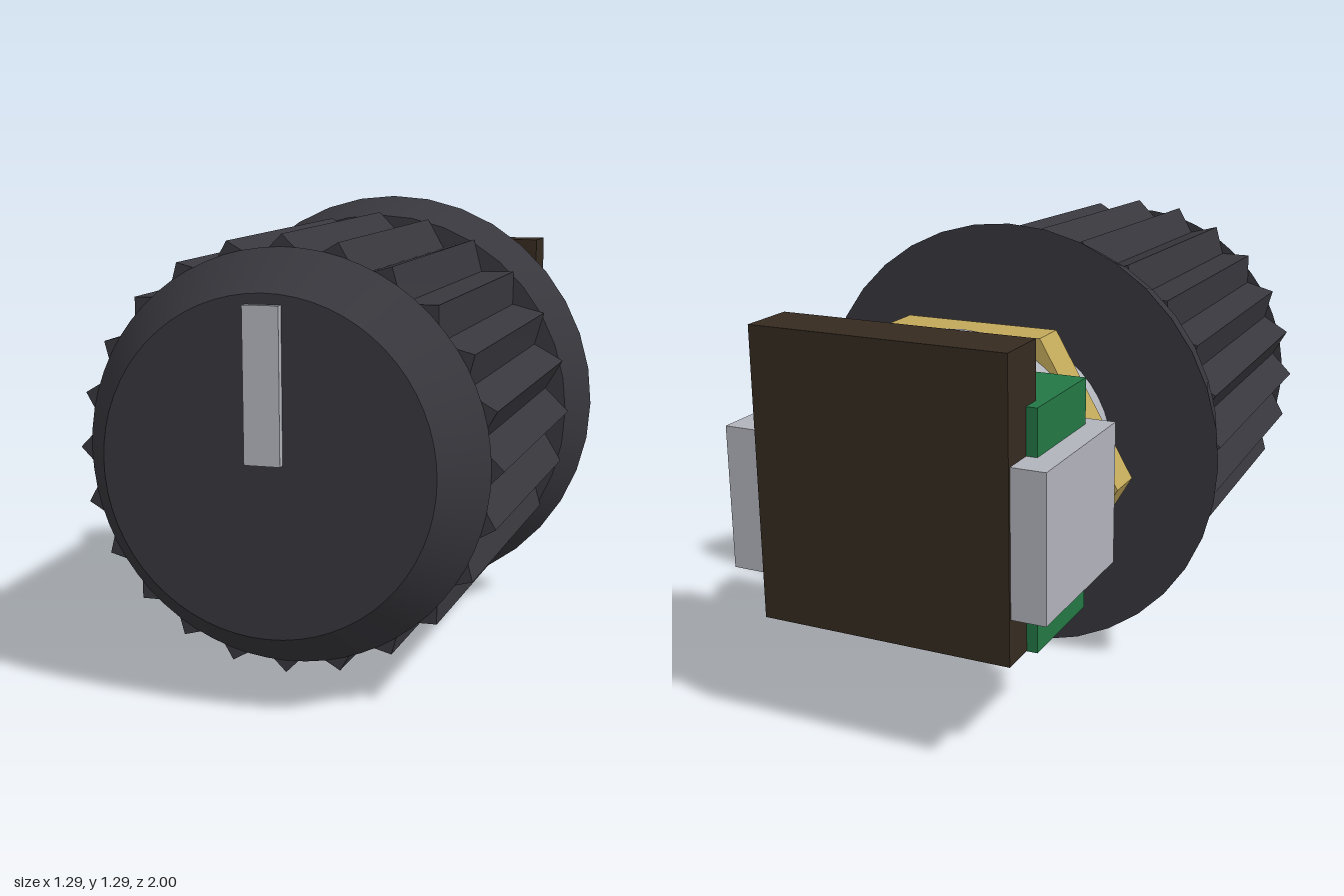
import * as THREE from 'three';
import { toCreasedNormals } from 'three/addons/utils/BufferGeometryUtils.js';

const AXIS_Y = 0.647;

const mat = (name, color) => {
  const m = new THREE.MeshStandardMaterial({ color });
  m.name = name;
  return m;
};

export function createModel() {
  const knobBlack = mat('knobBlack', 0x38373d);
  const metal = mat('metal', 0xb2b4bc);
  const brass = mat('brass', 0xc2a95a);
  const boardGreen = mat('boardGreen', 0x237745);
  const darkBrown = mat('darkBrown', 0x352a20);

  const model = new THREE.Group();
  model.name = 'rotaryKnob';

  const add = (name, geometry, material) => {
    const mesh = new THREE.Mesh(geometry, material);
    mesh.name = name;
    model.add(mesh);
    return mesh;
  };

  // Turned part along z, from zBack to zFront
  const disc = (name, material, rBack, rFront, zBack, zFront, sides, start = 0, crease = 0.6) => {
    const g = new THREE.CylinderGeometry(rFront, rBack, zFront - zBack, sides, 1, false, start);
    g.rotateX(Math.PI / 2);
    g.translate(0, AXIS_Y, (zFront + zBack) / 2);
    return add(name, toCreasedNormals(g, crease), material);
  };

  // Block given by its limits
  const block = (name, material, x0, x1, y0, y1, z0, z1) => {
    const g = new THREE.BoxGeometry(x1 - x0, y1 - y0, z1 - z0);
    g.translate((x0 + x1) / 2, (y0 + y1) / 2, (z0 + z1) / 2);
    return add(name, g, material);
  };

  // Knob: flared skirt, fluted grip, bevelled cap and pointer
  disc('skirt', knobBlack, 0.643, 0.588, -0.23, -0.06, 36);

  const teeth = 24;
  const zBack = -0.06, zFront = 0.84;
  const grip = new THREE.CylinderGeometry(0.572, 0.597, zFront - zBack, teeth * 2, 1);
  const p = grip.attributes.position;
  for (let i = 0; i < p.count; i++) {
    // every second edge is pulled in to form a groove
    const step = Math.round(Math.atan2(p.getX(i), p.getZ(i)) / (Math.PI / teeth));
    if (step % 2 !== 0) {
      const s = p.getY(i) > 0 ? 0.51 / 0.572 : 0.53 / 0.597;
      p.setX(i, p.getX(i) * s);
      p.setZ(i, p.getZ(i) * s);
    }
  }
  grip.rotateX(Math.PI / 2);
  grip.translate(0, AXIS_Y, (zBack + zFront) / 2);
  add('flutedGrip', toCreasedNormals(grip, 0.1), knobBlack);

  disc('cap', knobBlack, 0.54, 0.436, zFront, 0.98, 64);
  block('pointer', metal, -0.047, 0.047, 0.66, 1.055, 0.97, 1.0);

  // Threaded bushing, hexagonal nut and washer
  disc('bushing', metal, 0.322, 0.322, -0.6, -0.22, 48);
  disc('nut', brass, 0.455, 0.455, -0.525, -0.415, 6, Math.PI / 6);
  disc('washer', metal, 0.398, 0.398, -0.595, -0.525, 48);

  // Sensor body, side clips and rear block
  block('body', boardGreen, -0.39, 0.39, 0.325, 0.97, -0.9, -0.595);
  for (const side of [-1, 1]) {
    const inner = side * 0.345, outer = side * 0.455;
    block(side > 0 ? 'leftClip' : 'rightClip', metal,
      Math.min(inner, outer), Math.max(inner, outer), 0.45, 0.845, -0.992, -0.547);
  }
  block('rearBlock', darkBrown, -0.36, 0.36, 0.325, 1.125, -1.0, -0.84);

  return model;
}
